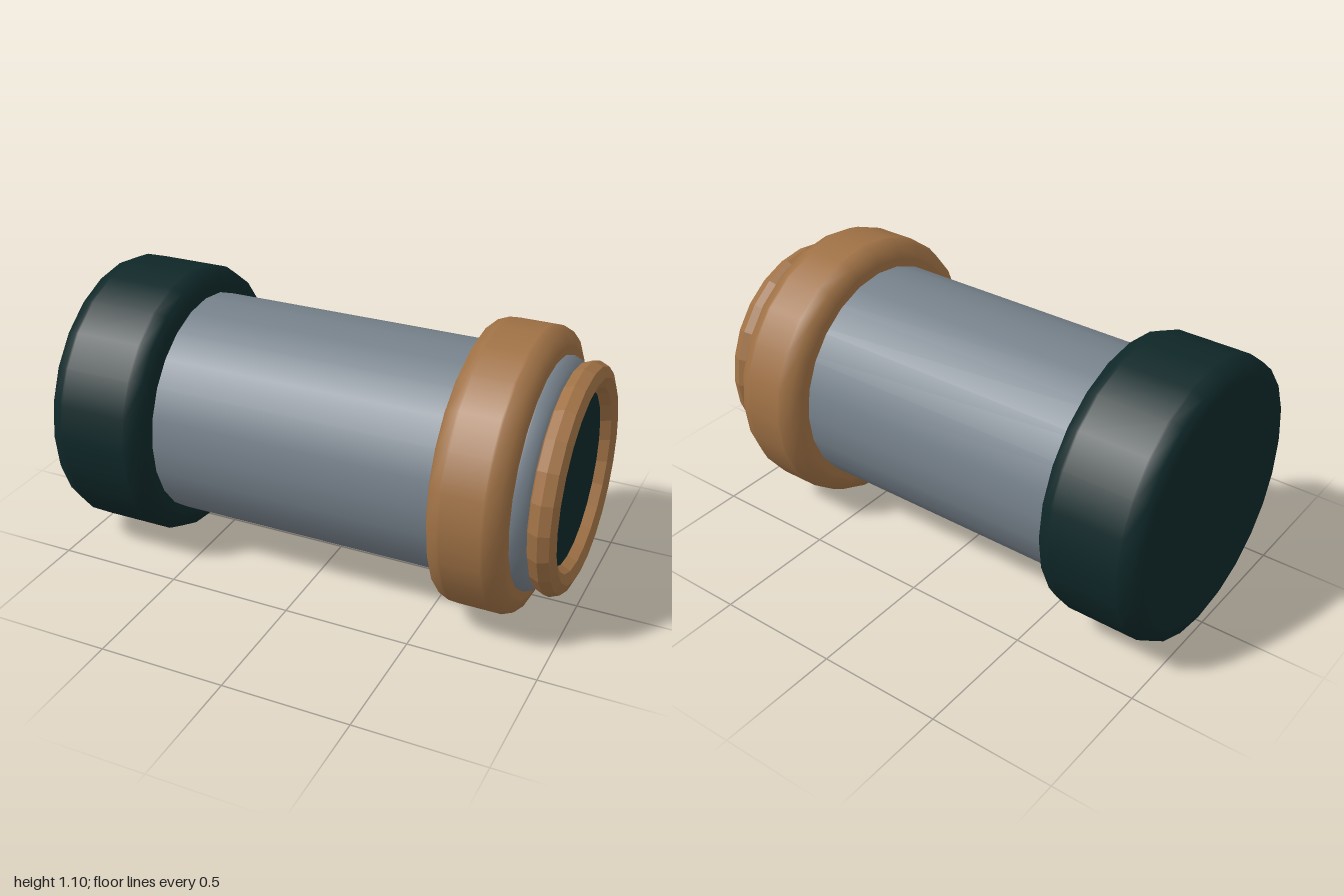
import * as THREE from 'three';

const SIDES = 24;
const AXIS_Y = 0.55;

const material = (name, color) => {
  const m = new THREE.MeshStandardMaterial({ color });
  m.name = name;
  return m;
};

// Solid drum along x, from x0 to x1, with rounded rims of size b
function drum(x0, x1, r, b) {
  const c = b * 0.29;
  const half = [[0, 0], [r - b - 0.01, 0], [r - b, 0], [r - c, c], [r, b], [r, b + 0.01]];
  const points = half.map(([rad, d]) => new THREE.Vector2(rad, x0 + d));
  for (const [rad, d] of [...half].reverse()) points.push(new THREE.Vector2(rad, x1 - d));
  return new THREE.LatheGeometry(points, SIDES).rotateZ(-Math.PI / 2);
}

export function createModel() {
  const model = new THREE.Group();
  model.name = 'canister';
  const grey = material('steel grey', 0x76818b);
  const brown = material('copper brown', 0x9f7145);
  const dark = material('dark teal', 0x0f2728);

  const add = (name, geometry, mat) => {
    const mesh = new THREE.Mesh(geometry, mat);
    mesh.name = name;
    mesh.position.y = AXIS_Y;
    model.add(mesh);
  };

  // Main tube, its end cap and its collar
  add('body', drum(-0.9, 0.9, 0.447, 0.05), grey);
  add('endCap', drum(-1, -0.59, 0.55, 0.06), dark);
  add('collar', drum(0.555, 0.845, 0.55, 0.06), brown);

  // Faceted ring around the open end
  const ring = new THREE.TorusGeometry(0.39, 0.055, 8, SIDES)
    .rotateY(Math.PI / 2).translate(0.945, 0, 0).toNonIndexed();
  ring.computeVertexNormals();
  add('rimRing', ring, brown);

  // Dark disc set inside the ring
  const disc = new THREE.CylinderGeometry(0.338, 0.338, 0.06, SIDES)
    .rotateZ(-Math.PI / 2).translate(0.915, 0, 0);
  add('lens', disc, dark);

  return model;
}
